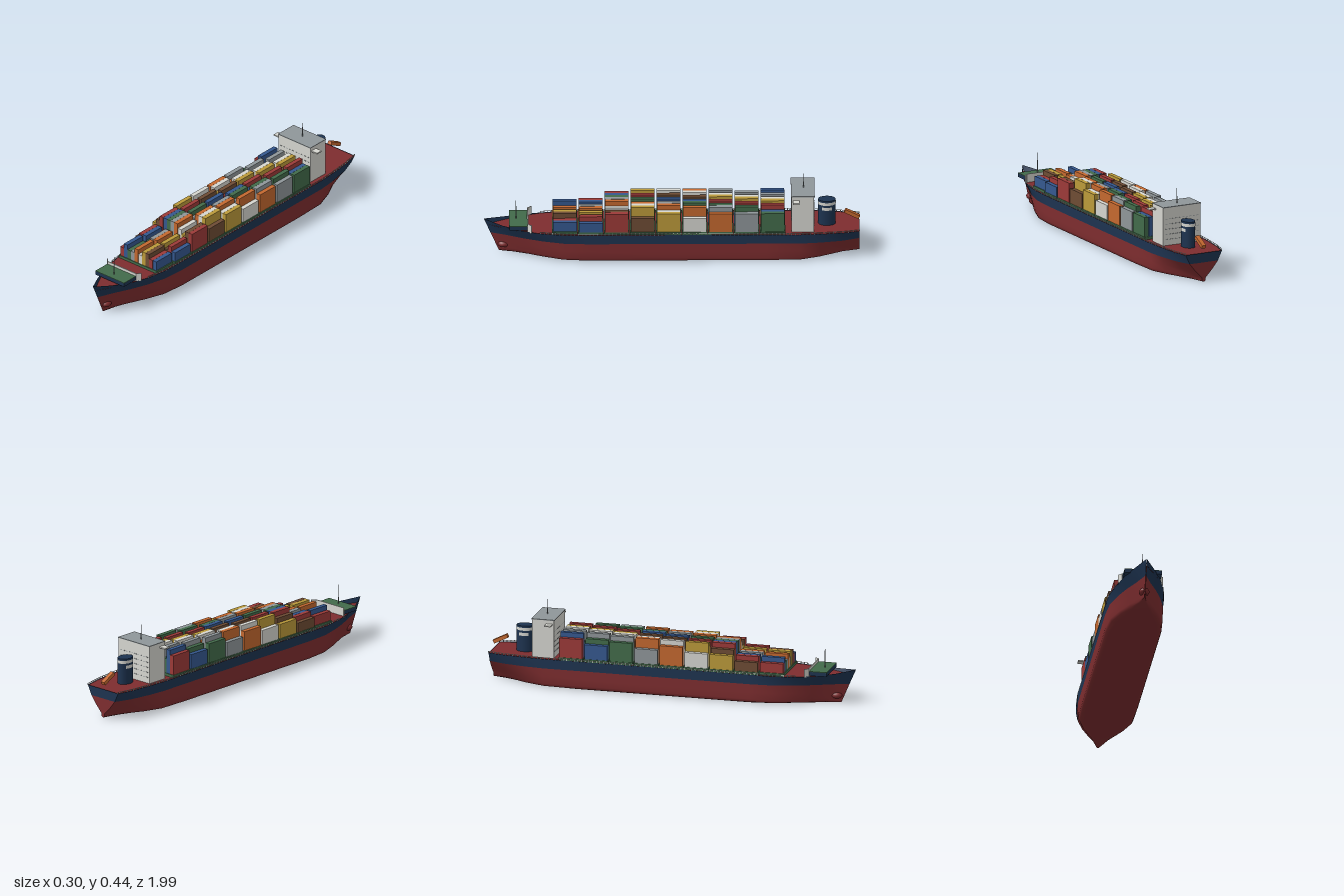
import * as THREE from 'three';

const mat = (name, color, side = THREE.FrontSide) => {
  const m = new THREE.MeshStandardMaterial({ color, side });
  m.name = name;
  return m;
};

export function createModel() {
  const ship = new THREE.Group();
  ship.name = 'containerShip';

  const hullRed = mat('hull red', 0x7e2d2f, THREE.DoubleSide);
  const navy = mat('navy', 0x1d3350, THREE.DoubleSide);
  const red = mat('container red', 0x9c3a38);
  const blue = mat('blue', 0x35588f);
  const green = mat('green', 0x426b4a);
  const grey = mat('grey', 0x8f9699);
  const orange = mat('orange', 0xc4682f);
  const white = mat('off white', 0xd6d6d0, THREE.DoubleSide);
  const yellow = mat('yellow', 0xbb9a3a);
  const brown = mat('brown', 0x6e4c34);

  const add = (name, geo, material, x = 0, y = 0, z = 0, parent = ship) => {
    const m = new THREE.Mesh(geo, material);
    m.name = name;
    m.position.set(x, y, z);
    parent.add(m);
    return m;
  };
  // Box given by its lowest y
  const box = (name, w, h, d, material, x, y, z, parent) =>
    add(name, new THREE.BoxGeometry(w, h, d), material, x, y + h / 2, z, parent);

  // Skin over rows of points
  const loft = (rows) => {
    const n = rows[0].length, index = [];
    for (let i = 0; i < rows.length - 1; i++)
      for (let j = 0; j < n - 1; j++) {
        const a = i * n + j, b = a + 1, c = a + n, d = c + 1;
        index.push(a, c, b, b, c, d);
      }
    const g = new THREE.BufferGeometry();
    g.setAttribute('position', new THREE.Float32BufferAttribute(rows.flat(2), 3));
    g.setIndex(index);
    g.computeVertexNormals();
    return g;
  };

  // Hull stations: z, half widths at sheer, waterline and bottom, bilge fullness, sheer height, stem rake
  const WL = 0.105;
  const stations = [
    [-0.99, 0.11, 0.085, 0.004, 0.1, 0.157, 0],
    [-0.90, 0.13, 0.118, 0.03, 0.2, 0.157, 0],
    [-0.78, 0.143, 0.14, 0.08, 0.55, 0.157, 0],
    [-0.68, 0.15, 0.15, 0.118, 0.9, 0.157, 0],
    [-0.50, 0.15, 0.15, 0.13, 1, 0.157, 0],
    [0.45, 0.15, 0.15, 0.13, 1, 0.157, 0],
    [0.58, 0.148, 0.142, 0.112, 0.9, 0.157, 0],
    [0.70, 0.128, 0.112, 0.075, 0.7, 0.157, 0.2],
    [0.80, 0.10, 0.077, 0.045, 0.5, 0.161, 0.4],
    [0.90, 0.056, 0.036, 0.018, 0.4, 0.17, 0.7],
    [1.00, 0.001, 0.001, 0.001, 1, 0.185, 1],
  ].map(([z, d, w, b, f, top, r]) => ({ z, d, w, b, f, top, r }));

  const lower = (s) => {
    const at = (x, y) => [x, y, s.z - s.r * (0.08 - 0.045 * y / WL)];
    const k = s.w - s.b;
    const half = [at(s.w, WL), at(s.b + k * (s.f + 1) / 2, 0.06), at(s.b + k * s.f, 0.022),
      at(s.b + k * s.f * 0.72, 0.006), at(s.b, 0)];
    return [...half, ...half.slice().reverse().map(([x, y, z]) => [-x, y, z])];
  };
  // Point on the topside at fraction t from waterline to sheer
  const upper = (s, t, sign = 1) =>
    [sign * (s.w + (s.d - s.w) * t), WL + (s.top - WL) * t, s.z - s.r * 0.035 * (1 - t)];

  add('lowerHull', loft(stations.map(lower)), hullRed);
  add('leftTopside', loft(stations.map((s) => [upper(s, 1), upper(s, 0.5), upper(s, 0)])), navy);
  add('rightTopside', loft(stations.map((s) => [upper(s, 0, -1), upper(s, 0.5, -1), upper(s, 1, -1)])), navy);
  add('deck', loft(stations.map((s) => {
    const t = (0.154 - WL) / (s.top - WL);
    return [upper(s, t, -1), upper(s, t)];
  })), hullRed);

  // Flat transom closing the stern
  const panel = (pts) => {
    const g = new THREE.ShapeGeometry(new THREE.Shape(pts.map(([x, y]) => new THREE.Vector2(x, y))));
    return g.rotateY(Math.PI).translate(0, 0, -0.99);
  };
  const aft = stations[0];
  add('lowerTransom', panel(lower(aft)), hullRed);
  add('upperTransom', panel([upper(aft, 1), upper(aft, 0), upper(aft, 0, -1), upper(aft, 1, -1)]), navy);

  // Swollen forefoot showing on both sides of the stem
  add('bulbousBow', new THREE.SphereGeometry(1, 24, 16), hullRed, 0, 0.04, 0.895).scale.set(0.028, 0.02, 0.032);

  // Side railings on the sheer line
  const rail = new THREE.CurvePath();
  const edge = stations.slice(0, 8).map((s) => new THREE.Vector3(s.d - 0.001, s.top, s.z));
  for (let i = 0; i < edge.length - 1; i++) rail.add(new THREE.LineCurve3(edge[i], edge[i + 1]));
  for (const sign of [-1, 1]) {
    const railing = new THREE.Group();
    railing.name = sign > 0 ? 'leftRailing' : 'rightRailing';
    railing.scale.x = sign;
    ship.add(railing);
    add('handrail', new THREE.TubeGeometry(rail, 120, 0.0014, 5), white, 0, 0.008, 0, railing);
    for (let i = 0; i <= 84; i++) {
      const p = rail.getPoint(i / 84);
      box('railPost', 0.002, 0.008, 0.005, white, p.x, p.y, p.z, railing);
    }
  }

  // Container bays from stern to bow; each digit is a stack height in tiers
  const palette = [red, blue, green, grey, orange, white, yellow, brown];
  const bays = ['45354554544', '34545545354', '45455354554', '35545455453', '45354545544',
    '35453545553', '34555554344', '23323323232', '2322323322'];
  const tier = 0.0266, pitch = 0.0253;
  bays.forEach((stacks, b) => {
    const z = -0.53 + b * 0.1377;
    const bay = new THREE.Group();
    bay.name = 'containerBay';
    ship.add(bay);
    box('hatchCover', b === 8 ? 0.265 : 0.284, 0.015, 0.134, green, 0, 0.155, z, bay);
    [...stacks].forEach((h, c) => box('containerStack', 0.0247, h * tier, 0.126,
      palette[(b + c) % 8], (c - (stacks.length - 1) / 2) * pitch, 0.17, z, bay));
  });

  // Accommodation block with bridge wings
  box('accommodationBlock', 0.226, 0.206, 0.12, white, 0, 0.154, -0.69);
  box('bridgeRoof', 0.228, 0.004, 0.126, grey, 0, 0.36, -0.69);
  for (const s of [-1, 1]) box('bridgeWing', 0.042, 0.007, 0.036, white, s * 0.131, 0.335, -0.655);
  for (let row = 0; row < 5; row++)
    for (let i = 0; i < 10; i++)
      for (const z of [-0.63, -0.75])
        box('window', 0.012, 0.003, 0.002, grey, (i - 4.5) * 0.021, 0.185 + row * 0.028, z);
  add('radarMast', new THREE.CylinderGeometry(0.0012, 0.0028, 0.082, 8), grey, 0, 0.404, -0.695);

  // Oval funnel with white band and side badges
  const funnel = new THREE.Group();
  funnel.name = 'funnel';
  funnel.position.set(0, 0, -0.818);
  funnel.scale.set(0.035, 1, 0.046);
  ship.add(funnel);
  add('funnelCasing', new THREE.CylinderGeometry(1, 1, 0.142, 28), navy, 0, 0.225, 0, funnel);
  add('funnelBand', new THREE.CylinderGeometry(1.03, 1.03, 0.016, 28, 1, true), white, 0, 0.278, 0, funnel);
  for (const a of [Math.PI / 2, -Math.PI / 2])
    add('funnelBadge', new THREE.CylinderGeometry(1.03, 1.03, 0.017, 10, 1, true, a - 0.6, 1.2),
      white, 0, 0.25, 0, funnel);

  // Free-fall lifeboat tilted over the stern
  const boat = box('lifeboat', 0.024, 0.02, 0.085, orange, 0, 0.198, -0.952);
  boat.rotation.x = -0.47;

  // Forecastle platform, breakwater and foremast
  box('forecastlePlatform', 0.2, 0.02, 0.096, navy, 0, 0.163, 0.818);
  box('platformDeck', 0.2, 0.003, 0.096, green, 0, 0.183, 0.818);
  box('breakwater', 0.2, 0.046, 0.005, white, 0, 0.155, 0.767);
  for (const s of [-1, 1])
    box('breakwaterWing', 0.028, 0.046, 0.004, white, s * 0.109, 0.155, 0.757).rotation.y = s * 0.8;
  add('foremast', new THREE.CylinderGeometry(0.0012, 0.003, 0.108, 8), grey, 0, 0.238, 0.83);

  return ship;
}
